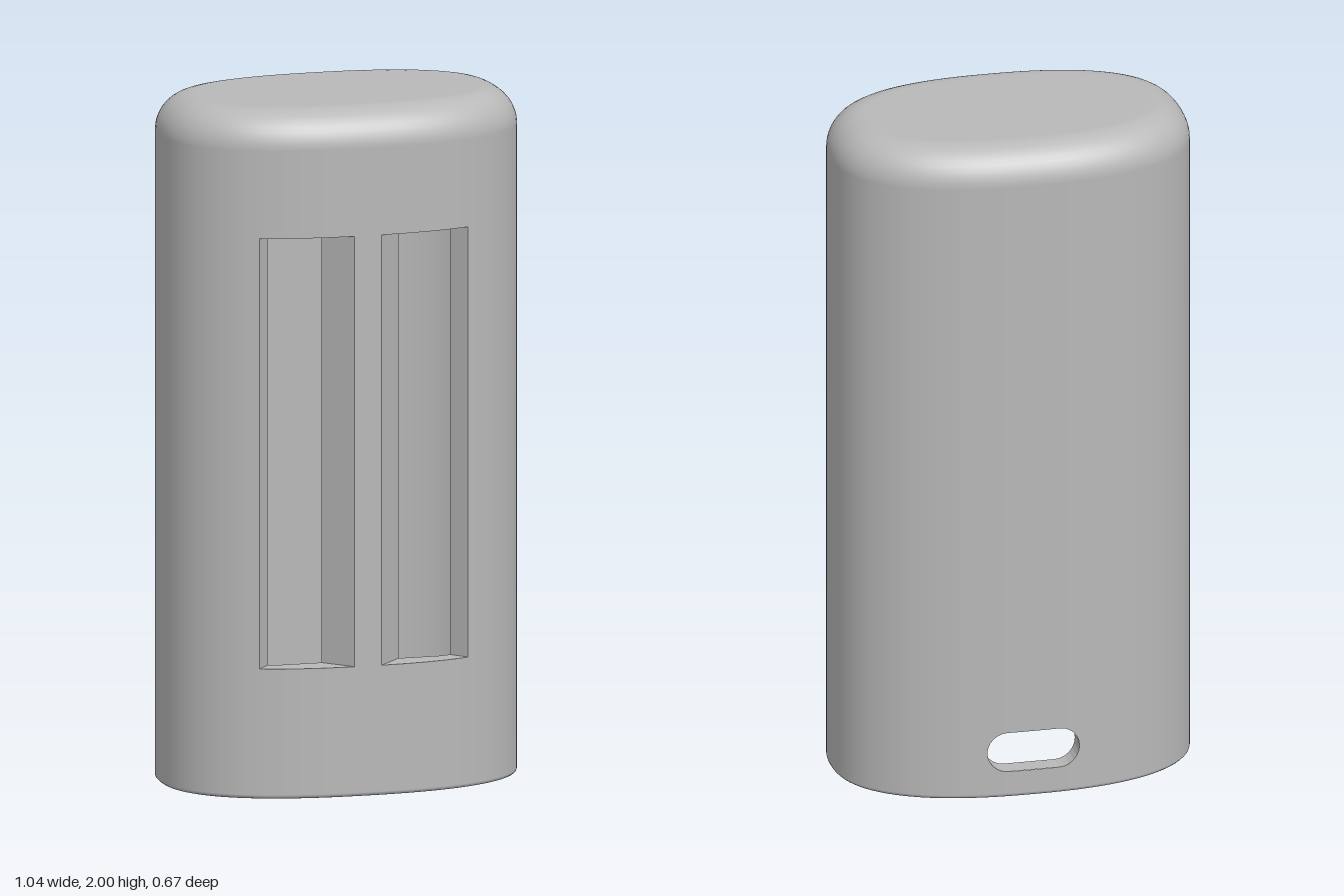
import * as THREE from 'three';

const N = 2.4, TOP = 2, FILLET = 0.11, LIP = 0.012, CEILING = 1.93;
const OUT = { a: 0.522, b: 0.334, zMax: 9 };
const INN = { a: 0.462, b: 0.274, zMax: 0.25 }; // flat pad inside the front

// depth of an oval at a given x
const depth = (o, x) => o.b * Math.pow(Math.max(0, 1 - Math.pow(Math.abs(x) / o.a, N)), 1 / N);
const frontZ = (o, x) => Math.min(depth(o, x), o.zMax);

// rounded port in the back
const PORT = { c: 0.075, r: 0.06, y: 0.14 };
const portH = x => Math.sqrt(Math.max(0, PORT.r ** 2 - Math.max(0, Math.abs(x) - PORT.c) ** 2));
const portXs = [0, 1, 2, 3, 4, 5, 6].map(k => PORT.c + PORT.r * Math.sin(k * Math.PI / 12));
const portHole = { side: -1, x0: 0, x1: 0.135, lo: x => PORT.y - portH(x), hi: x => PORT.y + portH(x) };
const WIN = { lo: 0.38, hi: 1.635 };
const rectHole = (x0, x1, lo, hi) => ({ side: 1, x0, x1, lo: () => lo, hi: () => hi });
const outerHoles = [portHole, rectHole(0.04, 0.31, WIN.lo, WIN.hi)];
const innerHoles = [portHole, rectHole(0, 0.2, 0.07, 0.27), rectHole(0.115, 0.27, WIN.lo, WIN.hi)];

// closed oval outline with normals, including the given x positions
function outline(o, breaks) {
  const ts = breaks.map(x => Math.acos(Math.pow(x / o.a, N / 2)));
  for (let i = 0; i <= 24; i++) ts.push(i / 24 * Math.PI / 2);
  ts.sort((p, q) => p - q);
  const quarter = ts.filter((t, i) => i === 0 || t - ts[i - 1] > 1e-5).map(t => {
    const x = o.a * Math.pow(Math.max(0, Math.cos(t)), 2 / N), z = o.b * Math.pow(Math.sin(t), 2 / N);
    const n = new THREE.Vector2(Math.pow(x / o.a, N - 1) / o.a, Math.pow(z / o.b, N - 1) / o.b).normalize();
    return { x, z, nx: n.x, nz: n.y };
  });
  const flip = (list, sx, sz) => list.map(p => ({ x: p.x * sx, z: p.z * sz, nx: p.nx * sx, nz: p.nz * sz }));
  const rev = [...quarter].reverse();
  const loop = [...quarter, ...flip(rev, -1, 1).slice(1), ...flip(quarter, -1, -1).slice(1), ...flip(rev, 1, -1).slice(1)];
  for (const p of loop) if (p.z > o.zMax) { p.z = o.zMax; p.nx = 0; p.nz = 1; }
  return loop;
}

// collects quads whose winding follows their normals
class Surface {
  constructor() { this.pos = []; this.nor = []; }
  tri(p, n) {
    const [a, b, c] = p;
    const f = b.clone().sub(a).cross(c.clone().sub(a));
    if (f.lengthSq() < 1e-16) return;
    const order = f.dot(n[0].clone().add(n[1]).add(n[2])) > 0 ? [0, 1, 2] : [0, 2, 1];
    for (const i of order) { this.pos.push(...p[i].toArray()); this.nor.push(...n[i].toArray()); }
  }
  quad(a, b, c, d, na, nb = na, nc = na, nd = na) {
    this.tri([a, b, c], [na, nb, nc]);
    this.tri([a, c, d], [na, nc, nd]);
  }
  // flat quad facing a target point
  facing(a, b, c, d, target) {
    const n = c.clone().sub(a).cross(d.clone().sub(b)).normalize();
    if (n.dot(target.clone().sub(a)) < 0) n.negate();
    this.quad(a, b, c, d, n);
  }
  mesh(name, material) {
    const g = new THREE.BufferGeometry();
    g.setAttribute('position', new THREE.Float32BufferAttribute(this.pos, 3));
    g.setAttribute('normal', new THREE.Float32BufferAttribute(this.nor, 3));
    const m = new THREE.Mesh(g, material);
    m.name = name;
    return m;
  }
}
const V = (x, y, z) => new THREE.Vector3(x, y, z);

// upright wall around an outline, leaving out the holes
function wall(s, loop, y0, y1, holes, sign) {
  loop.forEach((p, i) => {
    const q = loop[(i + 1) % loop.length], mx = Math.abs(p.x + q.x) / 2, side = Math.sign(p.z + q.z);
    const cuts = holes.filter(h => h.side === side && mx > h.x0 && mx < h.x1);
    const edges = [() => y0, ...cuts.flatMap(h => [h.lo, h.hi]), () => y1];
    const np = V(p.nx * sign, 0, p.nz * sign), nq = V(q.nx * sign, 0, q.nz * sign);
    for (let k = 0; k < edges.length; k += 2) {
      const lo = edges[k], hi = edges[k + 1];
      s.quad(V(p.x, lo(p.x), p.z), V(q.x, lo(q.x), q.z), V(q.x, hi(q.x), q.z), V(p.x, hi(p.x), p.z), np, nq, nq, np);
    }
  });
}

// rounded edge: r is the radius, dir is +1 upward or -1 downward
function fillet(s, loop, y, r, dir, steps) {
  const at = (p, t) => V(p.x - p.nx * r * (1 - Math.cos(t)), y + dir * r * Math.sin(t), p.z - p.nz * r * (1 - Math.cos(t)));
  const nm = (p, t) => V(p.nx * Math.cos(t), dir * Math.sin(t), p.nz * Math.cos(t));
  loop.forEach((p, i) => {
    const q = loop[(i + 1) % loop.length];
    for (let k = 0; k < steps; k++) {
      const t = k / steps * Math.PI / 2, u = (k + 1) / steps * Math.PI / 2;
      s.quad(at(p, t), at(q, t), at(q, u), at(p, u), nm(p, t), nm(q, t), nm(q, u), nm(p, u));
    }
  });
  return loop.map(p => at(p, Math.PI / 2));
}

function cap(s, ring, dir) {
  const c = V(0, ring[0].y, 0), n = V(0, dir, 0);
  ring.forEach((p, i) => s.tri([c, p, ring[(i + 1) % ring.length]], [n, n, n]));
}

// lining between two matching closed loops of a hole
function lining(s, A, B, center) {
  A.forEach((a, i) => {
    const j = (i + 1) % A.length;
    s.facing(a, A[j], B[j], B[i], center);
  });
}

// rectangular loop following a wall
function rectLoop(x0, x1, lo, hi, zAt) {
  const pts = [], steps = 8;
  for (const [from, to, y] of [[x0, x1, lo], [x1, x0, hi]])
    for (let i = 0; i <= steps; i++) {
      const x = from + (to - from) * i / steps;
      pts.push(V(x, y, zAt(x)));
    }
  return pts;
}

export function createModel() {
  const group = new THREE.Group();
  const grey = new THREE.MeshStandardMaterial({ color: 0xb8b8b8 });
  grey.name = 'light grey';

  // outer shell with rounded top and small bottom edge
  const outer = outline(OUT, [0.04, 0.31, ...portXs]);
  const shell = new Surface();
  wall(shell, outer, LIP, TOP - FILLET, outerHoles, 1);
  cap(shell, fillet(shell, outer, TOP - FILLET, FILLET, 1, 10), 1);
  fillet(shell, outer, LIP, LIP, -1, 3);
  group.add(shell.mesh('outerShell', grey));

  // hollow inside, open at the bottom
  const inner = outline(INN, [0.115, 0.2, 0.27, ...portXs]);
  const cavity = new Surface();
  wall(cavity, inner, 0, CEILING, innerHoles, -1);
  cap(cavity, inner.map(p => V(p.x, CEILING, p.z)), -1);
  group.add(cavity.mesh('innerCavity', grey));

  // flat rim between the two walls
  const rim = new THREE.Shape(outer.map(p => new THREE.Vector2(p.x - p.nx * LIP, p.z - p.nz * LIP)));
  rim.holes.push(new THREE.Path(inner.map(p => new THREE.Vector2(p.x, p.z))));
  const rimMesh = new THREE.Mesh(new THREE.ShapeGeometry(rim).rotateX(Math.PI / 2), grey);
  rimMesh.name = 'bottomRim';
  group.add(rimMesh);

  // tapered sides of the two front windows
  for (const sx of [-1, 1]) {
    const s = new Surface();
    lining(s, rectLoop(sx * 0.04, sx * 0.31, WIN.lo, WIN.hi, x => frontZ(OUT, x)),
      rectLoop(sx * 0.115, sx * 0.27, WIN.lo, WIN.hi, x => frontZ(INN, x)), V(sx * 0.19, 1, 0.28));
    group.add(s.mesh(sx < 0 ? 'rightWindowSides' : 'leftWindowSides', grey));
  }

  // sides of the back port
  const port = new Surface(), xs = [...portXs].reverse();
  const half = [...xs.map(x => -x), ...portXs];
  const portLoop = o => [...half.map(x => V(x, PORT.y + portH(x), -depth(o, x))),
    ...[...half].reverse().map(x => V(x, PORT.y - portH(x), -depth(o, x)))];
  lining(port, portLoop(OUT), portLoop(INN), V(0, PORT.y, -0.3));
  group.add(port.mesh('backPortSides', grey));

  // tapered recess inside the front, below the windows
  const recess = new Surface();
  const back = rectLoop(-0.14, 0.14, 0.07, 0.27, () => 0.305);
  lining(recess, rectLoop(-0.2, 0.2, 0.07, 0.27, () => INN.zMax), back, V(0, 0.17, 0.26));
  recess.quad(back[0], back[8], back[9], back[17], V(0, 0, -1));
  group.add(recess.mesh('innerRecess', grey));

  // locating pegs in the four corners of the opening
  for (const x of [-0.385, 0.385]) for (const z of [-0.19, 0.19]) {
    const peg = new THREE.Mesh(new THREE.CylinderGeometry(0.024, 0.024, 0.08, 20), grey);
    peg.position.set(x, 0.041, z);
    peg.name = 'cornerPeg';
    group.add(peg);
  }
  return group;
}
